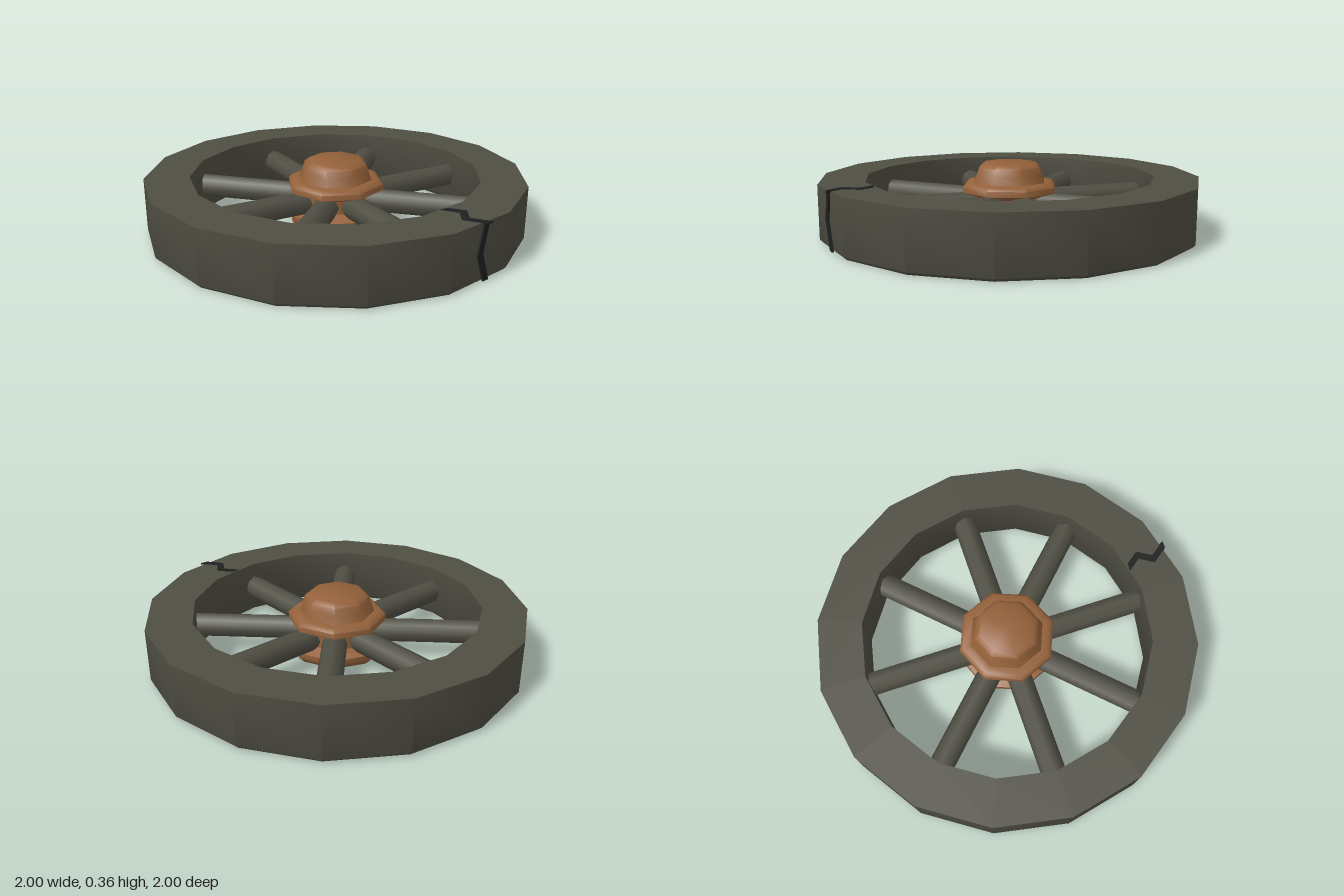
import * as THREE from 'three';
import { toCreasedNormals } from 'three/addons/utils/BufferGeometryUtils.js';

const mat = (name, color) => Object.assign(new THREE.MeshStandardMaterial({ color }), { name });

// Turned solid with few sides, smooth except at hard edges
function turned(profile, sides, phase = 0) {
  const pts = profile.map(([r, y]) => new THREE.Vector2(r, y));
  return toCreasedNormals(new THREE.LatheGeometry(pts, sides, phase), 0.85);
}

// Thin zigzag plate following a line, widened by an offset to each side
function zigzag(line, dx, dy, depth) {
  const a = line.map(([x, y]) => new THREE.Vector2(x + dx, y + dy));
  const b = line.map(([x, y]) => new THREE.Vector2(x - dx, y - dy));
  return new THREE.ExtrudeGeometry(new THREE.Shape([...a, ...b.reverse()]), { depth, bevelEnabled: false });
}

export function createModel() {
  const wheel = new THREE.Group();
  wheel.name = 'wheel';
  const wood = mat('dark wood', 0x4f4e43);
  const copper = mat('copper brown', 0x94613a);
  const black = mat('crack black', 0x202020);
  const add = (name, geometry, material) => {
    const mesh = new THREE.Mesh(geometry, material);
    mesh.name = name;
    wheel.add(mesh);
    return mesh;
  };

  // Sixteen-sided rim, chamfered underneath
  add('rim', turned([
    [0.985, 0], [1, 0.015], [1, 0.292], [0.765, 0.292],
    [0.76, 0.025], [0.78, 0], [0.985, 0],
  ], 16), wood);

  // Eight round spokes
  const spoke = new THREE.CylinderGeometry(0.065, 0.065, 0.64, 8, 1, true);
  spoke.rotateZ(-Math.PI / 2);
  spoke.translate(0.47, 0.148, 0);
  for (let i = 0; i < 8; i++) {
    add('spoke', spoke, wood).rotation.y = (i + 0.5) * Math.PI / 4;
  }

  // Octagonal hub: two flanges, a narrow waist and a cap
  add('hub', turned([
    [0, 0.025], [0.23, 0.025], [0.26, 0.055], [0.26, 0.085], [0.2, 0.115],
    [0.2, 0.185], [0.26, 0.21], [0.26, 0.24], [0.24, 0.258], [0.2, 0.26],
  ], 8, Math.PI / 8), copper);
  add('hubCap', turned([
    [0.2, 0.255], [0.184, 0.3], [0.17, 0.34], [0.142, 0.36], [0, 0.36],
  ], 8, Math.PI / 8), copper);

  // Crack across the top of the rim
  const topCrack = zigzag([[0.745, -0.152], [0.83, -0.13], [0.882, -0.203], [0.985, -0.178]], 0.009, 0.019, 0.008);
  topCrack.rotateX(-Math.PI / 2);
  topCrack.translate(0, 0.288, 0);
  add('topCrack', topCrack, black);

  // Crack down the outer face
  const sideCrack = zigzag([[0.032, 0.006], [-0.019, 0.148], [0.015, 0.294]], 0.018, 0, 0.009);
  sideCrack.translate(0, 0, 0.983);
  sideCrack.rotateY(Math.PI / 2 - Math.PI / 16);
  add('sideCrack', sideCrack, black);

  return wheel;
}
